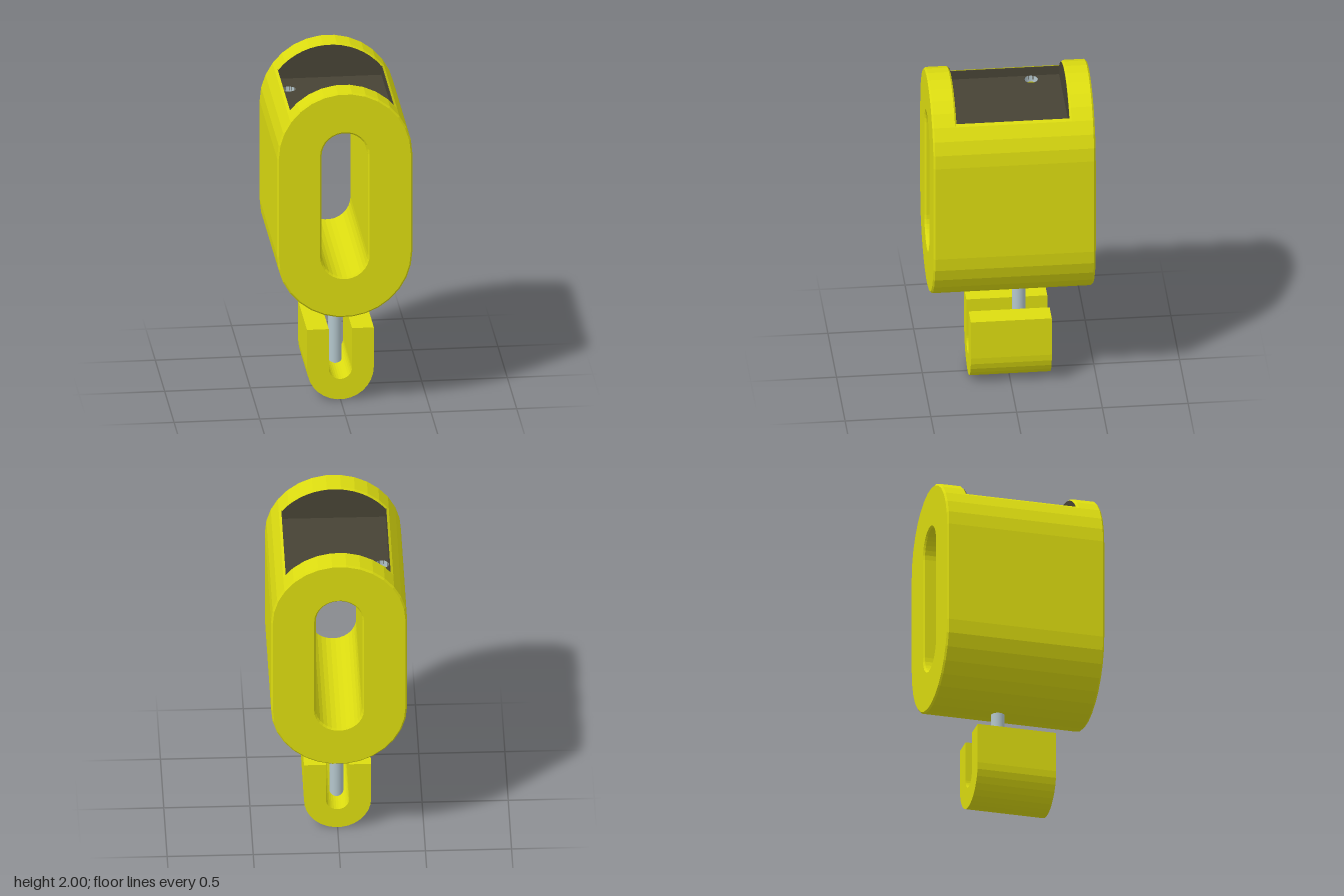
import * as THREE from 'three';

const yellow = new THREE.MeshStandardMaterial({ color: 0xdcdc10 });
const dark = new THREE.MeshStandardMaterial({ color: 0x474335, side: THREE.DoubleSide });
const steel = new THREE.MeshStandardMaterial({ color: 0xb4c6cc, side: THREE.DoubleSide });

const TOP = 1.605, BOTTOM = 0.995, R = 0.395;   // body arc centres and radius
const SLOT_R = 0.135, SLOT_TOP = 1.61, SLOT_BOTTOM = 0.985;
const HALF = 0.473, CUT = 0.33, BEVEL = 0.01;   // body half depth, recess half depth
const RIM_X = 0.305, RIM_Y = 1.85, FLOOR = 1.79;

// Points of an arc, angles in degrees
function arc(r, cy, from, to, steps = 15) {
  return Array.from({ length: steps + 1 }, (_, i) => {
    const a = THREE.MathUtils.degToRad(from + (to - from) * i / steps);
    return new THREE.Vector2(r * Math.cos(a), cy + r * Math.sin(a));
  });
}

const stadium = (r, top, bottom) => [...arc(r, top, 0, 180), ...arc(r, bottom, 180, 360)];
const slot = (r) => stadium(r, SLOT_TOP, SLOT_BOTTOM);

// Extrude a profile along z from z0 to z1, the bevel staying inside the profile
function extrude(points, hole, z0, z1, bevel = 0) {
  const shape = new THREE.Shape(points);
  if (hole) shape.holes.push(new THREE.Path(hole));
  const geo = new THREE.ExtrudeGeometry(shape, {
    depth: z1 - z0 - 2 * bevel, bevelEnabled: bevel > 0, bevelSegments: 1,
    bevelSize: bevel, bevelThickness: bevel, bevelOffset: -bevel,
  });
  return geo.translate(0, 0, z0 + bevel);
}

export function createModel() {
  const model = new THREE.Group();
  const add = (name, geo, mat, x = 0, y = 0, z = 0) => {
    const mesh = new THREE.Mesh(geo, mat);
    mesh.name = name;
    mesh.position.set(x, y, z);
    model.add(mesh);
    return mesh;
  };

  // Rounded end caps with the long slot
  for (const [name, z0, z1] of [['frontCap', CUT, HALF], ['backCap', -HALF, -CUT]]) {
    add(name, extrude(stadium(R, TOP, BOTTOM), slot(SLOT_R), z0, z1, BEVEL), yellow);
  }

  // Hollow casing between the caps, open at the top
  const mid = CUT + BEVEL;
  const casing = [
    new THREE.Vector2(-RIM_X, RIM_Y),
    ...arc(R, TOP, 132 + 12, 180, 3),
    ...arc(R, BOTTOM, 180, 360),
    ...arc(R, TOP, 0, 36, 3),
    new THREE.Vector2(RIM_X, RIM_Y),
    ...arc(RIM_X, BOTTOM, 360, 180),
  ];
  add('casing', extrude(casing, null, -mid, mid), yellow);

  // Wall around the slot
  add('slotLining', extrude(slot(SLOT_R + 0.015), slot(SLOT_R), -mid, mid), yellow);

  // Recess floor with a round cable hole
  const w = RIM_X, d = CUT;
  const floorShape = new THREE.Shape([
    new THREE.Vector2(-w, -d), new THREE.Vector2(w, -d),
    new THREE.Vector2(w, d), new THREE.Vector2(-w, d),
  ]);
  floorShape.holes.push(new THREE.Path().absarc(-0.26, 0.16, 0.04, 0, Math.PI * 2, true));
  const floorGeo = new THREE.ExtrudeGeometry(floorShape, { depth: 0.025, bevelEnabled: false, curveSegments: 16 });
  add('recessFloor', floorGeo.rotateX(-Math.PI / 2), dark, 0, FLOOR - 0.025, 0);
  add('cableHoleLining', new THREE.CylinderGeometry(0.04, 0.04, 0.04, 24, 1, true), steel, -0.26, FLOOR - 0.02, -0.16);

  // Dark linings on the sides and ends of the recess
  const crescent = [
    new THREE.Vector2(-w, FLOOR), new THREE.Vector2(w, FLOOR),
    ...arc(R - BEVEL, TOP, 38, 142),
  ];
  for (const s of [1, -1]) {
    add(s > 0 ? 'leftRecessWall' : 'rightRecessWall',
      new THREE.BoxGeometry(0.004, RIM_Y - FLOOR - 0.004, 2 * d), dark, s * (w - 0.002), (RIM_Y + FLOOR) / 2 - 0.002, 0);
    add(s > 0 ? 'frontRecessWall' : 'backRecessWall',
      new THREE.ShapeGeometry(new THREE.Shape(crescent)), dark, 0, 0, s * (CUT - 0.002));
  }

  // Rod joining body and hook
  add('rod', new THREE.CylinderGeometry(0.04, 0.04, 0.56, 24), steel, 0, 0.36, -0.062);

  // U-shaped hook
  const hook = [
    new THREE.Vector2(-0.195, 0.44),
    ...arc(0.195, 0.195, 180, 360),
    new THREE.Vector2(0.195, 0.44), new THREE.Vector2(0.068, 0.44),
    ...arc(0.068, 0.195, 360, 180),
    new THREE.Vector2(-0.068, 0.44),
  ];
  add('hook', extrude(hook, null, -0.236, 0.236), yellow);

  return model;
}
